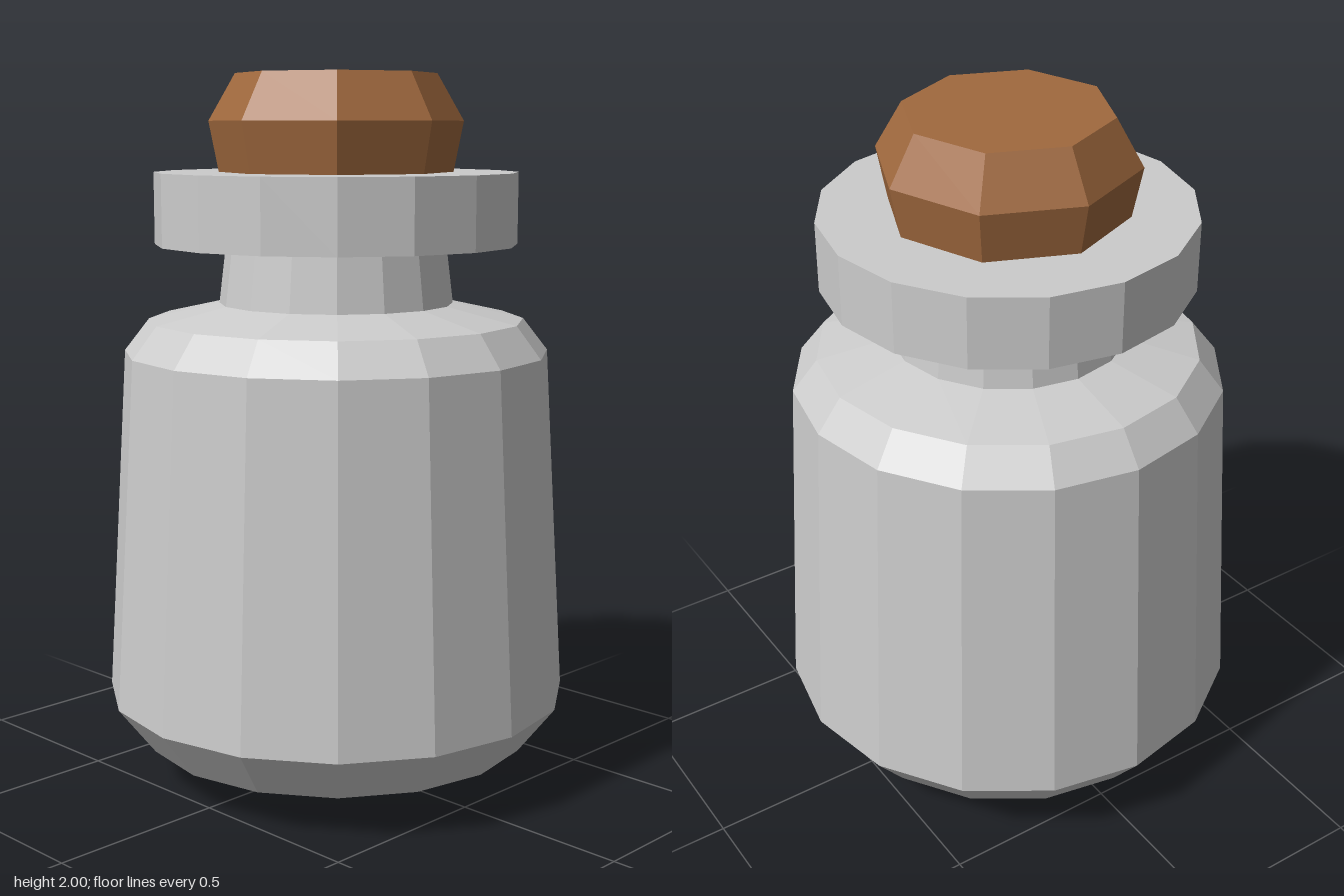
import * as THREE from 'three';

// Faceted solid of revolution from [radius, height] pairs, listed bottom to top
function turned(name, profile, sides, material) {
  const points = profile.map(([r, y]) => new THREE.Vector2(r, y));
  const mesh = new THREE.Mesh(new THREE.LatheGeometry(points, sides), material);
  mesh.name = name;
  return mesh;
}

export function createModel() {
  const glass = new THREE.MeshStandardMaterial({ color: 0xcccccc, flatShading: true });
  glass.name = 'pale grey glass';
  const wood = new THREE.MeshStandardMaterial({ color: 0xa0693e, flatShading: true });
  wood.name = 'brown cork';

  const bottle = new THREE.Group();
  bottle.name = 'corkedBottle';

  // Domed base, tapering wall, chamfered shoulder and narrow neck
  bottle.add(turned('body', [
    [0, 0], [0.33, 0.04], [0.555, 0.11], [0.66, 0.245],
    [0.6, 1.23], [0.53, 1.32], [0.33, 1.365], [0.31, 1.53],
  ], 16, glass));

  // Thick flat lip around the mouth
  bottle.add(turned('rim', [[0, 1.53], [0.51, 1.53], [0.51, 1.73], [0, 1.73]], 16, glass));

  // Octagonal stopper, seated slightly into the rim
  bottle.add(turned('cork', [
    [0, 1.68], [0.318, 1.68], [0.355, 1.87], [0.28, 2], [0, 2],
  ], 8, wood));

  return bottle;
}
